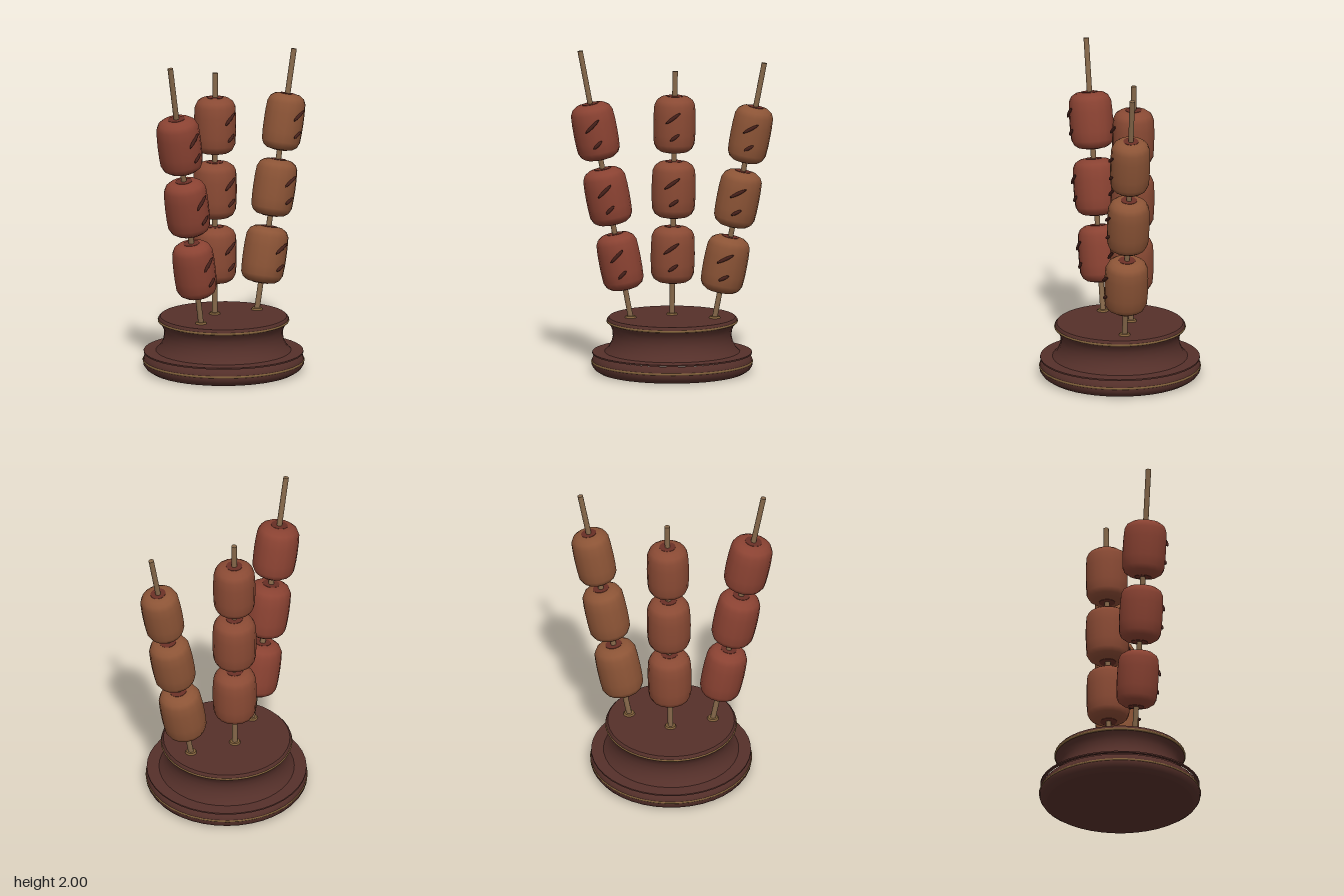
import * as THREE from 'three';

const mat = (color, side = THREE.FrontSide) => new THREE.MeshStandardMaterial({ color, side });
const V2 = (p) => new THREE.Vector2(p[0], p[1]);

function add(parent, name, geometry, material, x = 0, y = 0, z = 0) {
  const mesh = new THREE.Mesh(geometry, material);
  mesh.name = name;
  mesh.position.set(x, y, z);
  parent.add(mesh);
  return mesh;
}

// Lathe from short profile runs; each run is smooth, joins between runs stay sharp
function lathe(parent, name, runs, segments, material) {
  const group = new THREE.Group();
  group.name = name;
  runs.forEach((run, i) => add(group, `${name}Section${i + 1}`,
    new THREE.LatheGeometry(run.map(V2), segments), material));
  parent.add(group);
  return group;
}

export function createModel() {
  const model = new THREE.Group();
  model.name = 'skewerStand';

  const wood = mat(0x55302a);
  const brass = mat(0x80603a);
  const stick = mat(0x86684a);
  const char = mat(0x45201a);
  const endColor = mat(0x6a3026);

  // Turned wooden base: foot, flange, concave waist, top plate
  lathe(model, 'base', [
    [[0, 0], [0.45, 0]],
    [[0.45, 0], [0.478, 0.018], [0.493, 0.04], [0.494, 0.065], [0.486, 0.09], [0.472, 0.108]],
    [[0.472, 0.112], [0.49, 0.112]],
    [[0.49, 0.112], [0.49, 0.121]],
    [[0.49, 0.121], [0.415, 0.124]],
    [[0.415, 0.124], [0.39, 0.15], [0.372, 0.185], [0.364, 0.22], [0.366, 0.255], [0.378, 0.285], [0.398, 0.308]],
    [[0.398, 0.308], [0.4, 0.325], [0.388, 0.338]],
    [[0.388, 0.338], [0, 0.34]],
  ], 40, wood);

  // Brass trim rings
  for (const [name, r, y, tube] of [['footTrim', 0.489, 0.063, 0.008], ['topTrim', 0.396, 0.313, 0.008]]) {
    add(model, name, new THREE.TorusGeometry(r, tube, 8, 40).rotateX(Math.PI / 2), brass, 0, y, 0);
  }

  // Rounded barrel-shaped chunk
  const chunkProfile = [[0, -0.174], [0.05, -0.174], [0.088, -0.168], [0.115, -0.15], [0.13, -0.12], [0.134, -0.06],
    [0.135, 0], [0.134, 0.06], [0.13, 0.12], [0.115, 0.15], [0.088, 0.168], [0.05, 0.174], [0, 0.174]];
  const chunkGeometry = new THREE.LatheGeometry(chunkProfile.map(V2), 16);
  const endGeometry = new THREE.CylinderGeometry(0.052, 0.052, 0.352, 16);
  const markGeometry = new THREE.SphereGeometry(1, 12, 8);

  // Each skewer: foot and tip points, chunk colour, [height of centre, width factor]
  const skewers = [
    { name: 'rightSkewer', foot: [-0.255, 0.34, 0.03], tip: [-0.565, 2.0, 0.04], color: 0x8a4232,
      chunks: [[0.69, 0.96], [1.095, 1], [1.5, 1]] },
    { name: 'middleSkewer', foot: [0, 0.34, -0.07], tip: [0.02, 1.85, -0.083], color: 0x8a4a34,
      chunks: [[0.713, 1], [1.117, 1], [1.522, 0.96]] },
    { name: 'leftSkewer', foot: [0.26, 0.34, 0.052], tip: [0.563, 1.932, 0.098], color: 0x8c5436,
      chunks: [[0.676, 1], [1.085, 0.97], [1.487, 0.91]] },
  ];

  for (const s of skewers) {
    const foot = new THREE.Vector3(...s.foot);
    const axis = new THREE.Vector3(...s.tip).sub(foot);
    const length = axis.length();
    const rise = axis.y;
    const skewer = new THREE.Group();
    skewer.name = s.name;
    skewer.position.copy(foot);
    skewer.quaternion.setFromUnitVectors(new THREE.Vector3(0, 1, 0), axis.normalize());
    model.add(skewer);

    // Stick, sunk slightly into the base
    add(skewer, 'stick', new THREE.CylinderGeometry(0.017, 0.017, length + 0.03, 10), stick, 0, length / 2 - 0.015, 0);

    // Brass socket on the base
    add(model, `${s.name}Socket`, new THREE.CylinderGeometry(0.03, 0.037, 0.014, 16), brass, foot.x, 0.343, foot.z);

    const meat = mat(s.color);
    s.chunks.forEach(([y, width], i) => {
      const chunk = new THREE.Group();
      chunk.name = `chunk${i + 1}`;
      chunk.position.y = (y - foot.y) / rise * length;
      chunk.scale.set(width, 1, width);
      skewer.add(chunk);
      add(chunk, 'body', chunkGeometry, meat);
      add(chunk, 'darkEnds', endGeometry, endColor);

      // Slanted grill marks on the front
      for (const [x, h, half] of [[-0.012, 0.055, 0.058], [0, -0.065, 0.036]]) {
        const mark = add(chunk, 'grillMark', markGeometry, char, x, h, 0.133);
        mark.scale.set(half, 0.011, 0.011);
        mark.rotation.z = 0.62;
      }
    });
  }
  return model;
}
